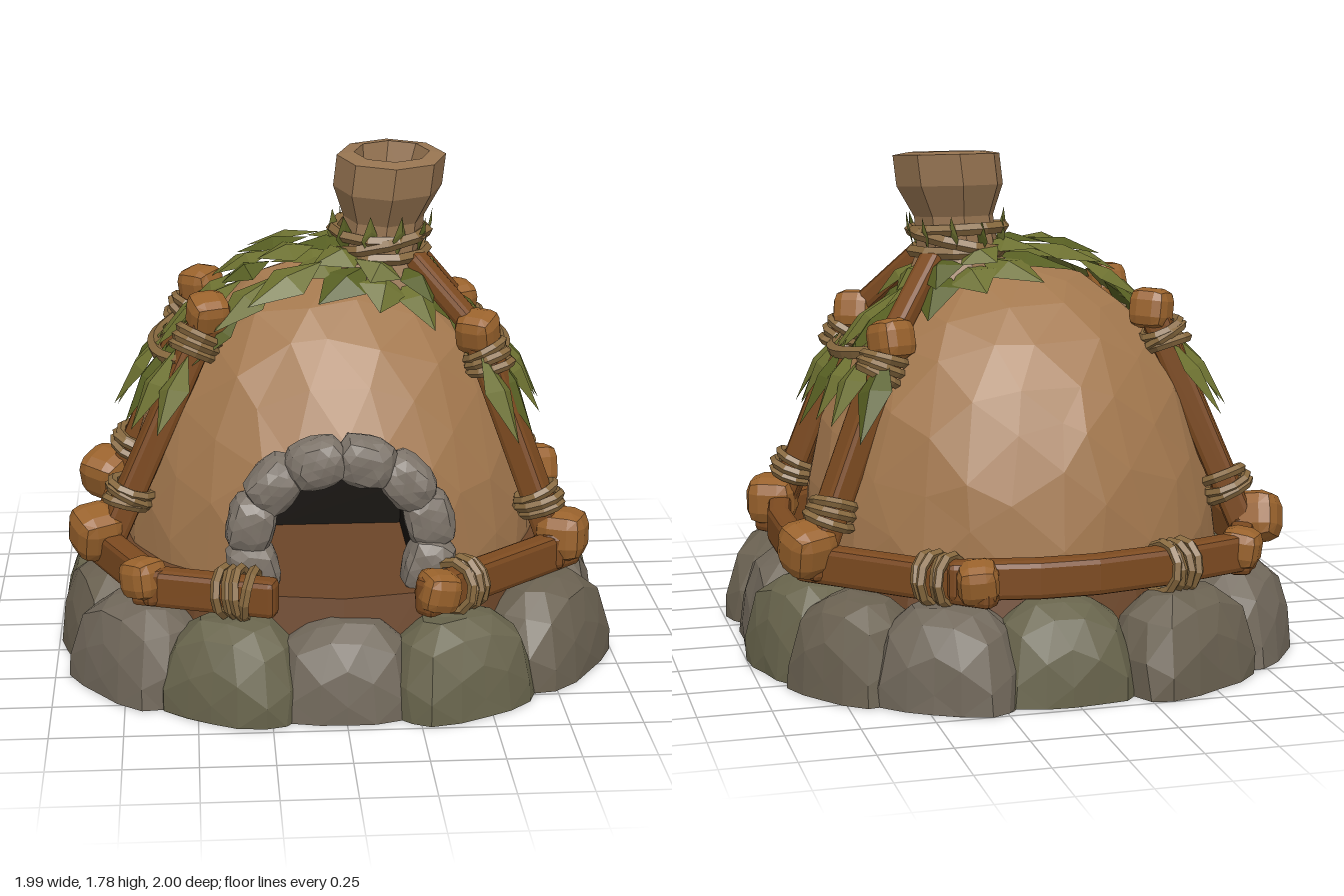
import * as THREE from 'three';
import { mergeVertices, mergeGeometries } from 'three/addons/utils/BufferGeometryUtils.js';
import { RoundedBoxGeometry } from 'three/addons/geometries/RoundedBoxGeometry.js';

const V = (x, y, z) => new THREE.Vector3(x, y, z);
const mat = (color, side = THREE.FrontSide) => new THREE.MeshStandardMaterial({ color, side, flatShading: true });
const MAT = {
  clay: mat(0xa3784e, THREE.DoubleSide), chimney: mat(0x957350, THREE.DoubleSide), floor: mat(0x6b4528),
  wood: mat(0x7c4a20), knob: mat(0x99622c), rope: mat(0x87693f), dark: mat(0x14100c, THREE.BackSide),
  stones: [mat(0x70675a), mat(0x68644c), mat(0x6a6151)], arch: mat(0x7d746a),
  leaves: [mat(0x6c7030, THREE.DoubleSide), mat(0x565e22, THREE.DoubleSide)],
};

let seed = 7;
const rnd = (a = 1) => { seed = (seed * 16807) % 2147483647; return (seed / 2147483647 - 0.5) * 2 * a; };

// Dome ellipsoid
const DOME = { rx: 0.755, rz: 0.715, h: 1.0, y: 0.38, z: -0.05 };
const domePoint = (x, z, lift = 0) => {
  const q = 1 - (x / DOME.rx) ** 2 - ((z - DOME.z) / DOME.rz) ** 2;
  const p = V(x, DOME.y + DOME.h * Math.sqrt(Math.max(0, q)), z);
  return p.addScaledVector(outward(p), lift);
};
const outward = (p) => V(p.x / DOME.rx ** 2, (p.y - DOME.y) / DOME.h ** 2, (p.z - DOME.z) / DOME.rz ** 2).normalize();

export function createModel() {
  const root = new THREE.Group();
  const add = (name, geo, material, pos) => {
    const m = new THREE.Mesh(geo, material);
    m.name = name;
    if (pos) m.position.copy(pos);
    root.add(m);
    return m;
  };
  const weld = (g) => { g.deleteAttribute('uv'); g.deleteAttribute('normal'); return mergeVertices(g, 1e-4); };

  // Faceted boulder with a squarish outline; optionally cut flat underneath
  const boulder = (w, h, d, flat, jitter) => {
    const g = weld(new THREE.IcosahedronGeometry(1, 2)), p = g.attributes.position;
    for (let i = 0; i < p.count; i++) {
      const v = V().fromBufferAttribute(p, i);
      const n = Math.pow(Math.abs(v.x) ** 3.4 + Math.abs(v.y) ** 3.4 + Math.abs(v.z) ** 3.4, 1 / 3.4);
      v.divideScalar(n).multiplyScalar(1 + rnd(jitter));
      if (flat) {
        const k = 1.06 - 0.16 * Math.max(0, v.y) ** 2;
        v.set(v.x * k, Math.max(.004, v.y), v.z * k);
      }
      p.setXYZ(i, v.x * w, v.y * h, v.z * d);
    }
    g.computeVertexNormals();
    return g;
  };

  // Foundation: ring of boulders around a floor drum
  const ring = [[0, .77, .47], [.39, .755, .5], [.73, .46, .54], [.785, .06, .48], [.785, -.29, .44], [.67, -.57, .44], [.4, -.765, .48],
    [.02, -.785, .47], [-.42, -.755, .52], [-.71, -.5, .46], [-.78, -.16, .46], [-.78, .21, .48], [-.69, .54, .5], [-.37, .75, .48]];
  ring.forEach(([x, z, w], i) => {
    const s = add('foundationStone', boulder(w / 2, 0.325 + rnd(.01), 0.18, true, .03), MAT.stones[i % 3], V(x, 0, z));
    s.rotation.y = Math.atan2(x, z) + rnd(.04);
  });
  add('floor', new THREE.CylinderGeometry(.77, .84, .38, 18), MAT.floor, V(0, .19, 0));

  // Clay dome with the doorway cut out
  const dome = weld(new THREE.IcosahedronGeometry(1, 4)), dp = dome.attributes.position;
  const cut = [], low = [], R = .3;
  for (let i = 0; i < dp.count; i++) {
    const v = V().fromBufferAttribute(dp, i).addScaledVector(V(rnd(), rnd(), rnd()), .045).normalize();
    v.multiplyScalar(1 + rnd(.009)).multiply(V(DOME.rx, DOME.h, DOME.rz)).add(V(0, DOME.y, DOME.z));
    low[i] = v.y < .28;
    if (low[i]) v.y = .28;
    const dy = Math.max(0, v.y - .55), d = Math.hypot(v.x, dy);
    cut[i] = v.z > 0 && d < R;
    if (cut[i]) {
      const k = R / Math.max(d, 1e-3);
      v.x *= k;
      if (dy > 0) v.y = .55 + dy * k;
      const q = 1 - (v.x / DOME.rx) ** 2 - ((v.y - DOME.y) / DOME.h) ** 2;
      v.z = DOME.z + DOME.rz * Math.sqrt(Math.max(0, q));
    }
    dp.setXYZ(i, v.x, v.y, v.z);
  }
  const kept = [], ix = dome.index.array;
  for (let i = 0; i < ix.length; i += 3) {
    const t = [ix[i], ix[i + 1], ix[i + 2]];
    if (!t.every((k) => cut[k]) && !t.every((k) => low[k])) kept.push(...t);
  }
  dome.setIndex(kept);
  dome.computeVertexNormals();
  add('dome', dome, MAT.clay);

  // Dark entrance passage, seen from inside
  const arch = new THREE.Shape();
  arch.moveTo(-.26, .36).lineTo(.26, .36).lineTo(.26, .53);
  arch.absarc(0, .53, .26, 0, Math.PI, false);
  arch.closePath();
  add('entrancePassage', new THREE.ExtrudeGeometry(arch, { depth: .6, bevelEnabled: false, curveSegments: 8 }), MAT.dark, V(0, 0, .02));

  // Stone arch around the door
  for (let i = 0; i < 8; i++) {
    const a = -.3 + (i / 7) * (Math.PI + .6), c = Math.cos(a);
    const s = add('archStone', boulder(.085, .102, .085, false, .05), MAT.arch,
      V(.315 * c, .535 + .3 * Math.sin(a), .635 - .03 * Math.abs(c) + rnd(.01)));
    s.rotation.z = a;
  }

  // Flared chimney, slightly leaning
  const prof = [[.21, 1.3], [.15, 1.42], [.145, 1.54], [.195, 1.65], [.195, 1.76], [.135, 1.77], [.1, 1.62], [.1, 1.42], [0, 1.42]];
  const ch = new THREE.LatheGeometry(prof.map(([x, y]) => new THREE.Vector2(x, y)), 8), cp = ch.attributes.position;
  for (let i = 0; i < cp.count; i++) {
    const y = cp.getY(i);
    cp.setXYZ(i, cp.getX(i) + .17 + (y - 1.33) * .12, y - cp.getZ(i) * .09, cp.getZ(i) * 1.05 - .01);
  }
  add('chimney', ch, MAT.chimney);

  // Timber helpers
  const beam = (name, a, b, w, h, extra = 0) => {
    const m = add(name, new RoundedBoxGeometry(w, h, a.distanceTo(b) + extra, 1, .022), MAT.wood, a.clone().lerp(b, .5));
    m.lookAt(b);
  };
  const knob = (p, s) => {
    const m = add('beamKnob', new RoundedBoxGeometry(s, s, s, 1, s * .3), MAT.knob, p);
    m.rotation.set(rnd(.25), Math.atan2(p.x, p.z) + rnd(.2), rnd(.25));
  };
  const rope = (p, dir, r, n = 3, tube = .018) => {
    for (let i = 0; i < n; i++) {
      const d = dir.clone().normalize();
      const m = add('ropeBinding', new THREE.TorusGeometry(r + rnd(.005), tube, 5, 10), MAT.rope,
        p.clone().addScaledVector(d, (i - (n - 1) / 2) * tube * 1.7));
      m.quaternion.setFromUnitVectors(V(0, 0, 1), d.add(V(rnd(.15), rnd(.15), rnd(.15))).normalize());
    }
  };

  // Ring of beams at the foot of the dome
  const runs = [[[.28, .81], [.84, .34]], [[-.25, .77], [-.69, .62]], [[-.64, .66], [-.84, .22]], [[-.8, .3], [-.81, -.05], [-.77, -.44]],
    [[-.78, -.4], [-.67, -.67]], [[-.7, -.65], [-.37, -.76], [-.1, -.81], [.1, -.81], [.38, -.76]], [[.28, -.84], [.81, -.35]],
    [[.77, .42], [.825, .12], [.825, -.12], [.77, -.42]]];
  for (const run of runs) {
    const y = .4 + rnd(.01);
    for (let i = 1; i < run.length; i++) {
      const [a, b] = [run[i - 1], run[i]].map(([x, z]) => V(x, y, z));
      beam('ringBeam', a, b, .085, .135, .05);
    }
  }
  [[-.68, .42, .63], [-.68, .42, -.65], [.32, .41, .79], [.31, .41, -.81]].forEach((p) => knob(V(...p), .14));
  [[.41, .7, 1, -.82], [-.36, .735, 1, .35], [-.39, -.755, 1, -.36], [.42, -.715, 1, .9]].forEach(([x, z, dx, dz]) =>
    rope(V(x, .4, z), V(dx, 0, dz), .082, 4));

  // Four leaning posts with knobs and bindings
  const posts = [[V(.77, .45, .36), V(.51, 1.17, .24)], [V(.77, .45, -.39), V(.49, 1.15, -.3)],
    [V(-.79, .46, .26), V(-.44, 1.24, .21)], [V(-.77, .46, -.4), V(-.46, 1.22, -.29)]];
  for (const [a, b] of posts) {
    const d = b.clone().sub(a);
    beam('post', a.clone().addScaledVector(d, -.08), b, .11, .1);
    knob(a.clone().add(V(a.x > 0 ? .04 : -.06, 0, 0)), .18);
    knob(b, .145);
    rope(a.clone().addScaledVector(d, .17), d, .078, 3);
    rope(b.clone().addScaledVector(d, -.13), d, .077, 3);
    if (a.x > 0) beam('upperPost', b, V(.29, 1.41, b.z * .35), .085, .075);
  }

  // Rope swags between each pair of posts
  for (const s of [1, -1]) {
    const pts = [V(s * .54, 1.08, .26), V(s * .62, 1.07, .1), V(s * .63, 1.08, -.12), V(s * .54, 1.11, -.32)];
    add('ropeSwag', new THREE.TubeGeometry(new THREE.CatmullRomCurve3(pts), 10, .024, 5), MAT.rope);
  }
  rope(V(.18, 1.455, -.01), V(-.08, 1, 0), .17, 3, .022);

  // Folded leaves, collected into two tones
  const leafGeos = [[], []];
  let leafCount = 0;
  const leaf = (base, tip, w) => {
    const dir = tip.clone().sub(base), n = outward(base.clone().lerp(tip, .5));
    const side = dir.clone().cross(n).normalize().multiplyScalar(w / 2);
    const mid = base.clone().addScaledVector(dir, .45);
    const c = [base, mid.clone().sub(side), mid.clone().add(side), tip, mid.clone().addScaledVector(n, .03)];
    const g = new THREE.BufferGeometry().setFromPoints(c);
    g.setIndex([0, 2, 4, 2, 3, 4, 3, 1, 4, 1, 0, 4]);
    g.computeVertexNormals();
    leafGeos[leafCount++ % 3 === 1 ? 1 : 0].push(g);
  };
  // Collar around the chimney
  for (const [n, r0, r1, l0, l1, off] of [[12, .12, .38, .04, .03, 0], [9, .1, .28, .08, .07, .3]])
    for (let i = 0; i < n; i++) {
      const a = (i / n) * Math.PI * 2 + off, r = r1 + rnd(.03), c = Math.cos(a), s = Math.sin(a);
      leaf(domePoint(.18 + c * r0, -.01 + s * r0, l0), domePoint(.15 + c * r, -.02 + s * r * .84, l1), .18);
    }
  for (let i = 0; i < 10; i++) {
    const a = (i / 10) * Math.PI * 2, c = Math.cos(a), s = Math.sin(a);
    leaf(V(.18 + c * .16, 1.42, -.01 + s * .16), V(.19 + c * .18, 1.56 + rnd(.025), -.01 + s * .18), .08);
  }
  // Trail over the crown
  for (const [x, lift] of [[-.3, .04], [-.18, .06], [-.05, .08]])
    for (const z of [-.15, -.05, .05, .16])
      leaf(domePoint(x + rnd(.03), z * .9, lift), domePoint(x - .2 + rnd(.04), z * 1.5 + rnd(.04), lift + .02), .18);
  // Side curtains hanging below the swags
  for (const s of [1, -1]) {
    for (let i = 0; i < 8; i++) {
      const z = -.4 + i * .109, t = z + .02;
      leaf(V(s * (.6 - t * t * .6), 1.12, z * .85), V(s * (.77 - t * t * .9 + rnd(.02)), .85 + rnd(.03), z * 1.32), .15);
    }
    for (let i = 0; i < 5; i++) {
      const z = -.22 + i * .1;
      leaf(domePoint(s * .37, z * .75, .04), domePoint(s * .58, z * 1.15, .07), .18);
    }
  }
  leafGeos.forEach((g, i) => add(i ? 'darkLeaves' : 'lightLeaves', mergeGeometries(g), MAT.leaves[i]));
  return root;
}
